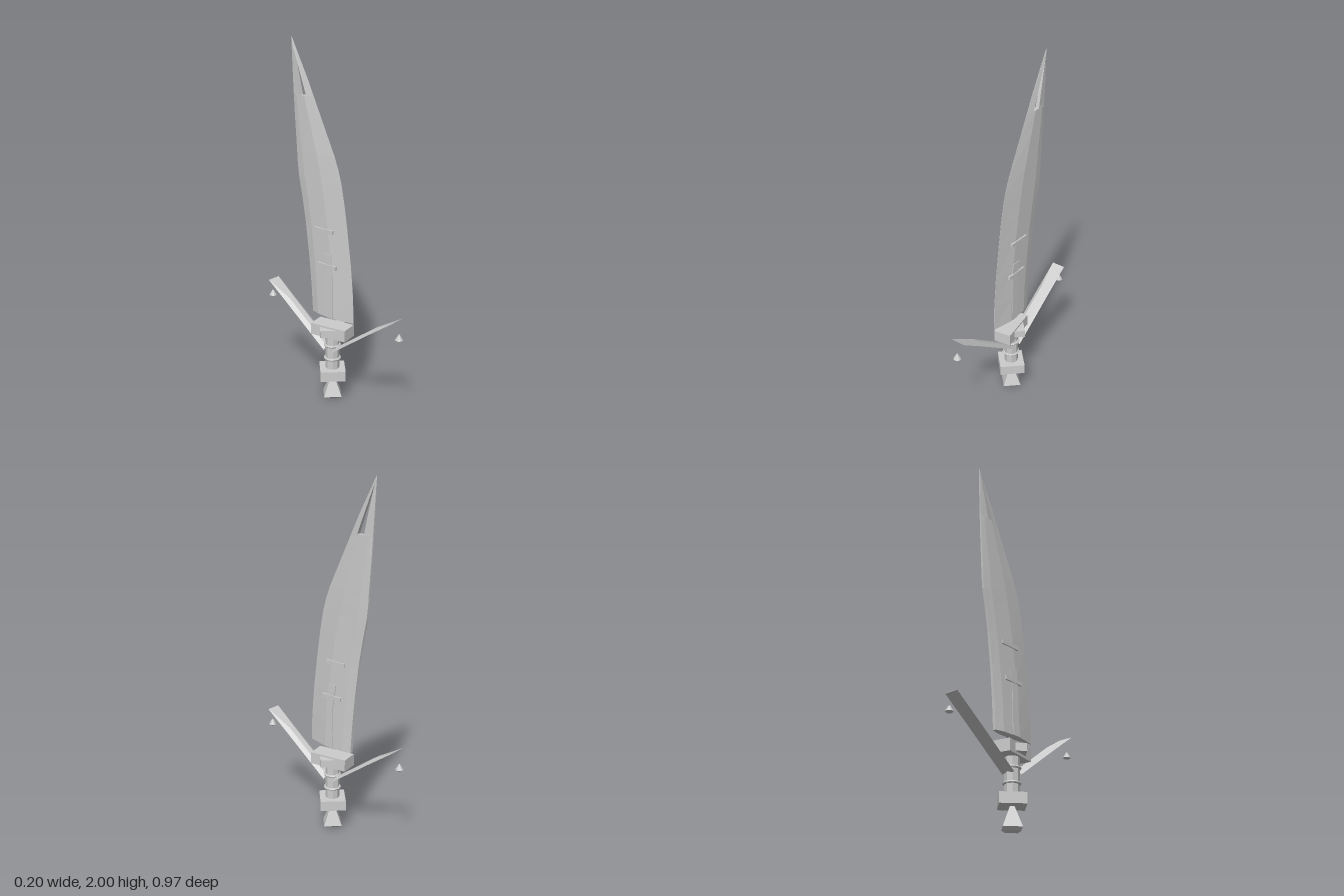
import * as THREE from 'three';

const steel = new THREE.MeshStandardMaterial({ color: 0xcccccc, flatShading: true });
steel.name = 'plain steel';

// Skins a list of equal-length point rings and closes both ends
function loft(rings) {
  const pos = [];
  const tri = (a, b, c) => pos.push(...a, ...b, ...c);
  const n = rings[0].length;
  for (let i = 0; i < rings.length - 1; i++) {
    for (let j = 0; j < n; j++) {
      const k = (j + 1) % n, lo = rings[i], hi = rings[i + 1];
      tri(lo[j], lo[k], hi[k]);
      tri(lo[j], hi[k], hi[j]);
    }
  }
  const first = rings[0], last = rings[rings.length - 1];
  for (let j = 1; j < n - 1; j++) {
    tri(first[0], first[j + 1], first[j]);
    tri(last[0], last[j], last[j + 1]);
  }
  const g = new THREE.BufferGeometry();
  g.setAttribute('position', new THREE.Float32BufferAttribute(pos, 3));
  g.computeVertexNormals();
  return g;
}

// Blade slice: stations are [y, zCuttingEdge, zBack, halfThickness],
// profile is [fraction from edge to back, thickness factor]
function bladePart(stations, profile) {
  return loft(stations.map(([y, zf, zb, h]) => {
    const side = (s) => profile.map(([t, k]) => [s * h * k, y, zf + (zb - zf) * t]);
    return [...side(1), ...side(-1).reverse()];
  }));
}

export function createModel() {
  const model = new THREE.Group();
  const add = (name, geometry, x = 0, y = 0, z = 0, parent = model) => {
    const m = new THREE.Mesh(geometry, steel);
    m.name = name;
    m.position.set(x, y, z);
    parent.add(m);
    return m;
  };
  const prism = (rTop, rBottom, h, sides) => new THREE.CylinderGeometry(rTop, rBottom, h, sides);

  // Pommel: square flared foot with a chamfered base
  add('pommelBase', prism(0.07, 0.045, 0.015, 4), 0, 0.0075, 0);
  add('pommel', prism(0.014, 0.07, 0.115, 4), 0, 0.0725, 0);

  // Handle with its lower block and two rings
  add('lowerBlock', prism(0.1, 0.1, 0.058, 4), 0, 0.153, 0);
  add('grip', prism(0.04, 0.04, 0.21, 8), 0, 0.28, 0);
  for (const y of [0.242, 0.322]) {
    const ring = add('gripRing', new THREE.TorusGeometry(0.042, 0.007, 6, 12), 0, y, 0);
    ring.rotation.x = Math.PI / 2;
  }

  // Guard: a turned block crossed by a diamond block
  add('guardBlock', new THREE.BoxGeometry(0.1, 0.067, 0.218), 0, 0.412, 0).rotation.y = 0.18;
  add('guardDiamond', prism(0.1, 0.1, 0.042, 4), 0, 0.414, 0);

  // Swept guard wings, each with a small stud hanging under the tip
  const wingRing = (z, y, w, h) => [[0.04, y, z], [w, y + h, z], [-w, y + h, z], [-0.04, y, z]];
  const wing = loft([
    wingRing(0.03, 0.291, 0.017, 0.02),
    wingRing(0.31, 0.494, 0.017, 0.022),
    wingRing(0.457, 0.598, 0.039, 0.002),
  ]);
  for (const [name, turn] of [['frontWing', 0], ['backWing', Math.PI]]) {
    const g = new THREE.Group();
    g.name = name;
    g.rotation.y = turn;
    add('wingPlate', wing, 0, 0, 0, g);
    const stud = add('stud', prism(0.004, 0.022, 0.03, 8), 0, 0.508, 0.466, g);
    stud.rotation.y = Math.PI / 8;
    add('studBase', prism(0.022, 0.014, 0.005, 8), 0, 0.4905, 0.466, g).rotation.y = Math.PI / 8;
    model.add(g);
  }

  // Blade body up to the slot near the point
  add('blade', bladePart([
    [0.49, 0.154, -0.138, 0.026],
    [0.64, 0.149, -0.148, 0.024],
    [0.815, 0.133, -0.165, 0.022],
    [1.016, 0.106, -0.191, 0.02],
    [1.14, 0.087, -0.213, 0.019],
    [1.26, 0.064, -0.238, 0.018],
    [1.33, 0.043, -0.246, 0.0175],
    [1.4, 0.016, -0.25, 0.017],
    [1.585, -0.074, -0.264, 0.014],
    [1.7, -0.13, -0.271, 0.012],
  ], [[0, 0.03], [0.42, 1], [0.83, 0.85], [1, 0.35]]));

  // Two prongs either side of the slot, joined at the point
  add('edgeProng', bladePart([
    [1.7, -0.13, -0.175, 0.011],
    [1.785, -0.171, -0.208, 0.009],
    [1.97, -0.27, -0.281, 0.004],
  ], [[0, 0.03], [1, 1]]));
  add('backProng', bladePart([
    [1.7, -0.218, -0.271, 0.011],
    [1.785, -0.236, -0.276, 0.009],
    [1.97, -0.279, -0.286, 0.004],
  ], [[0, 1], [1, 0.4]]));
  add('bladePoint', bladePart([
    [1.97, -0.27, -0.286, 0.004],
    [2, -0.286, -0.288, 0.001],
  ], [[0, 0.1], [0.6, 1], [1, 0.4]]));

  // Raised central strip and the two cross bars
  add('bladeStrip', bladePart([
    [0.49, 0.022, -0.022, 0.028],
    [0.74, 0.02, -0.025, 0.0255],
    [0.86, 0.01, -0.044, 0.024],
  ], [[0, 1], [1, 1]]));
  add('lowerBar', new THREE.BoxGeometry(0.058, 0.022, 0.127), 0, 0.79, -0.017);
  add('upperBar', new THREE.BoxGeometry(0.054, 0.022, 0.127), 0, 0.988, -0.042);

  return model;
}
